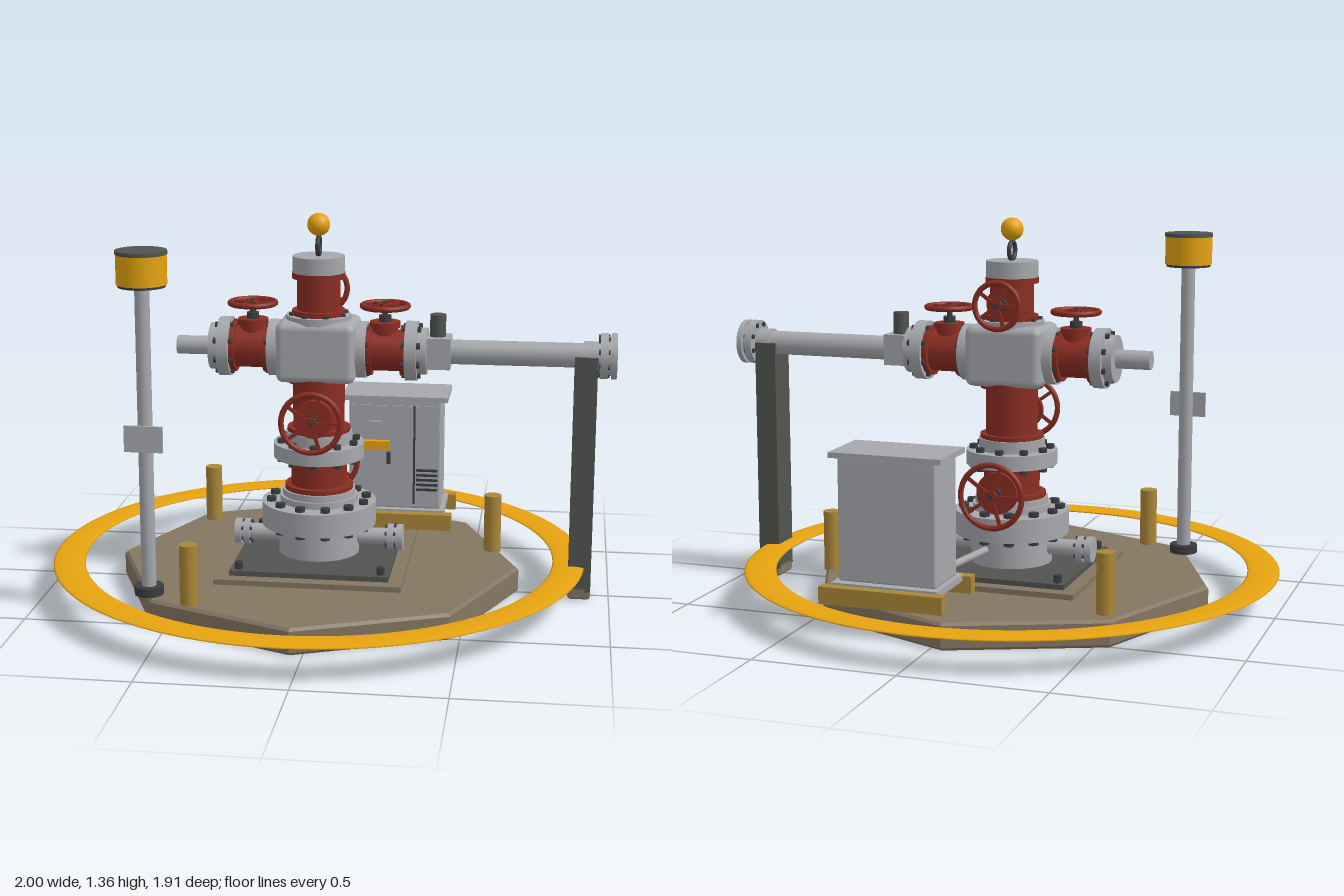
import * as THREE from 'three';
import { RoundedBoxGeometry } from 'three/addons/geometries/RoundedBoxGeometry.js';

const mat = (name, color) => Object.assign(new THREE.MeshStandardMaterial({ color }), { name });

export function createModel() {
  const steel = mat('steel grey', 0xa6a8ac);
  const red = mat('valve red', 0x8a2d22);
  const yellow = mat('bright yellow', 0xe6a310);
  const ochre = mat('ochre', 0xab8738);
  const earth = mat('concrete brown', 0x847662);
  const dark = mat('dark grey', 0x51544f);
  const iron = mat('bolt iron', 0x3a3d40);

  const root = new THREE.Group();
  root.name = 'wellhead';
  const CX = -0.043;

  function add(parent, name, geometry, material, x = 0, y = 0, z = 0) {
    const m = new THREE.Mesh(geometry, material);
    m.name = name;
    m.position.set(x, y, z);
    parent.add(m);
    return m;
  }
  function group(parent, name, x = 0, y = 0, z = 0) {
    const g = new THREE.Group();
    g.name = name;
    g.position.set(x, y, z);
    parent.add(g);
    return g;
  }
  // Upright cylinder between two heights
  const rod = (parent, name, material, r, y0, y1, x = 0, z = 0, sides = 32) =>
    add(parent, name, new THREE.CylinderGeometry(r, r, y1 - y0, sides), material, x, (y0 + y1) / 2, z);
  // Box between two corners
  const box = (parent, name, material, [x0, x1], [y0, y1], [z0, z1]) =>
    add(parent, name, new THREE.BoxGeometry(x1 - x0, y1 - y0, z1 - z0), material,
      (x0 + x1) / 2, (y0 + y1) / 2, (z0 + z1) / 2);
  // Flange disc with a ring of through bolts
  function flange(parent, name, material, r, y0, y1, bolts = 8, over = 0.016) {
    const g = group(parent, name);
    rod(g, 'disc', material, r, y0, y1, 0, 0, 40);
    for (let i = 0; i < bolts; i++) {
      const a = (i + 0.5) * Math.PI * 2 / bolts, c = r * 0.84;
      rod(g, 'bolt', iron, r * 0.075 + 0.003, y0 - over, y1 + over, c * Math.cos(a), c * Math.sin(a), 6);
    }
    return g;
  }
  // Valve: flow along y, bonnet and handwheel towards +z
  function valve(parent, name, y0, y1, r, reach, wheelR, wheelY = (y0 + y1) / 2) {
    const g = group(parent, name);
    rod(g, 'body', red, r, y0, y1);
    for (const [a, b] of [[y0, y0 + 0.02], [y1 - 0.02, y1]]) rod(g, 'bodyRim', red, r * 1.22, a, b);
    const side = group(g, 'bonnetAssembly', 0, wheelY, 0);
    side.rotation.x = Math.PI / 2;
    const top = reach - 0.055;
    rod(side, 'bonnet', red, r * 0.62, 0, top);
    rod(side, 'bonnetCap', red, r * 0.74, top - 0.02, top);
    rod(side, 'packing', iron, 0.022, top, top + 0.022, 0, 0, 16);
    rod(side, 'stem', iron, 0.01, top, reach + 0.015, 0, 0, 12);
    rod(side, 'hub', red, 0.022, reach - 0.009, reach + 0.009, 0, 0, 16);
    const rim = add(side, 'handwheelRim', new THREE.TorusGeometry(wheelR - 0.01, 0.01, 10, 36), red, 0, reach, 0);
    rim.rotation.x = Math.PI / 2;
    for (let i = 0; i < 5; i++) {
      const a = i * Math.PI * 0.4, l = wheelR - 0.01;
      const spoke = add(side, 'spoke', new THREE.BoxGeometry(l, 0.009, 0.012), red,
        Math.cos(a) * l / 2, reach, -Math.sin(a) * l / 2);
      spoke.rotation.y = a;
    }
    return g;
  }

  // Octagonal pad with a small bevel, and the guard ring
  const padProfile = [[0, 0], [0.712, 0], [0.722, 0.01], [0.722, 0.084], [0.712, 0.094], [0, 0.094]];
  const padGeo = new THREE.LatheGeometry(padProfile.map(p => new THREE.Vector2(...p)), 8).toNonIndexed();
  padGeo.computeVertexNormals();
  add(root, 'pad', padGeo, earth, CX);
  const ringGeo = new THREE.TorusGeometry(0.8985, 0.0565, 14, 96).rotateX(Math.PI / 2).scale(1, 0.12, 1);
  add(root, 'guardRing', ringGeo, yellow, CX, 0.118, 0);

  // Stepped base plate with anchor bolts
  box(root, 'groutPlate', earth, [CX - 0.328, CX + 0.328], [0.09, 0.113], [-0.327, 0.327]);
  box(root, 'basePlate', dark, [CX - 0.28, CX + 0.28], [0.113, 0.131], [-0.28, 0.28]);
  for (const sx of [-1, 1]) for (const sz of [-1, 1])
    rod(root, 'anchorBolt', iron, 0.015, 0.13, 0.157, CX + sx * 0.25, sz * 0.25, 6);

  // Main stack
  const stack = group(root, 'stack', CX);
  rod(stack, 'casing', steel, 0.145, 0.13, 0.24, 0, 0, 40);
  flange(stack, 'casingFlange', steel, 0.205, 0.237, 0.322, 12);
  rod(stack, 'tubingHub', steel, 0.14, 0.322, 0.345);
  flange(stack, 'lowerValveFlange', steel, 0.13, 0.345, 0.368, 8, 0.012);
  valve(stack, 'lowerValve', 0.365, 0.49, 0.1, 0.226, 0.122, 0.407).rotation.y = Math.PI;
  flange(stack, 'middleFlange', steel, 0.162, 0.485, 0.538, 10);
  flange(stack, 'middleUpperFlange', steel, 0.118, 0.538, 0.58, 8, 0.012);
  valve(stack, 'middleValve', 0.575, 0.78, 0.092, 0.212, 0.114, 0.654);
  add(stack, 'crossBlock', new RoundedBoxGeometry(0.28, 0.215, 0.235, 2, 0.028), steel, 0, 0.878, 0);
  rod(stack, 'blockCollarBottom', steel, 0.11, 0.76, 0.79);
  flange(stack, 'blockCollarTop', steel, 0.115, 0.975, 1.0, 8, 0.01);
  valve(stack, 'swabValve', 0.998, 1.15, 0.077, 0.166, 0.09, 1.064).rotation.y = Math.PI;
  rod(stack, 'treeCap', steel, 0.092, 1.148, 1.208);
  const eye = add(stack, 'liftingEye', new THREE.TorusGeometry(0.032, 0.008, 10, 28), iron, 0, 1.242, 0);
  eye.rotation.y = Math.PI / 2;
  add(stack, 'topBall', new THREE.SphereGeometry(0.04, 28, 18), yellow, 0, 1.317, 0);

  // Two wing arms: local y runs outwards, local z is up
  for (const s of [-1, 1]) {
    const arm = group(root, s > 0 ? 'leftArm' : 'rightArm', CX, 0.877, 0);
    arm.setRotationFromMatrix(new THREE.Matrix4().makeBasis(
      new THREE.Vector3(0, 0, s), new THREE.Vector3(s, 0, 0), new THREE.Vector3(0, 1, 0)));
    flange(arm, 'innerFlange', steel, 0.1, 0.138, 0.174, 8, 0.01);
    valve(arm, 'wingValve', 0.172, 0.312, 0.073, 0.158, 0.09, 0.235);
    flange(arm, 'outerFlange', steel, 0.105, 0.31, 0.352, 8, 0.012);
    rod(arm, 'outerHub', steel, 0.083, 0.352, 0.385);
    if (s < 0) {
      rod(arm, 'pipeStub', steel, 0.033, 0.385, 0.507);
    } else {
      box(arm, 'chokeBlock', steel, [-0.053, 0.053], [0.385, 0.468], [-0.055, 0.055]);
      rod(arm, 'flowPipe', steel, 0.043, 0.46, 0.99);
      rod(arm, 'pipeClamp', steel, 0.05, 0.93, 0.978);
      flange(arm, 'endFlange', steel, 0.08, 0.985, 1.012, 8, 0.006);
      rod(arm, 'endHub', steel, 0.068, 1.012, 1.026);
      rod(arm, 'endFace', steel, 0.08, 1.024, 1.043);
    }
    // Low side outlet
    const port = group(root, 'sideOutlet', CX, 0.19, 0);
    port.quaternion.copy(arm.quaternion);
    rod(port, 'outletPipe', steel, 0.03, 0.1, 0.26);
    flange(port, 'outletFlange', steel, 0.046, 0.25, 0.272, 6, 0.008);
    rod(port, 'outletCap', steel, 0.046, 0.282, 0.305);
    rod(port, 'outletNeck', steel, 0.036, 0.265, 0.29);
  }
  rod(root, 'chokeActuator', dark, 0.028, 0.92, 1.01, 0.378, 0, 20);

  // Pipe support post
  box(root, 'supportPost', dark, [0.855, 0.935], [0.03, 0.835], [-0.057, 0.057]);
  for (const sz of [-1, 1])
    box(root, 'saddleCheek', dark, [0.855, 0.935], [0.83, 0.88], [sz * 0.051 - 0.006, sz * 0.051 + 0.006]);
  add(root, 'postFoot', new RoundedBoxGeometry(0.08, 0.05, 0.114, 1, 0.01), earth, 0.895, 0.025, 0);

  // Beacon mast
  const mast = group(root, 'beaconMast', -0.571, 0, 0.444);
  rod(mast, 'mastFoot', iron, 0.05, 0.094, 0.125);
  rod(mast, 'mastPole', steel, 0.025, 0.1, 1.17, 0, 0, 24);
  rod(mast, 'lampBase', iron, 0.08, 1.163, 1.174);
  rod(mast, 'lamp', yellow, 0.085, 1.172, 1.272, 0, 0, 40);
  rod(mast, 'lampCap', dark, 0.087, 1.272, 1.285, 0, 0, 40);
  box(mast, 'signPlate', steel, [-0.066, 0.066], [0.605, 0.695], [0.025, 0.037]);

  // Bollards
  for (const [x, z] of [[-0.516, -0.438], [0.575, -0.19], [-0.414, 0.526]])
    rod(root, 'bollard', ochre, 0.031, 0.09, 0.304, x, z, 24);

  // Control cabinet on skids
  const cab = group(root, 'cabinet', 0.19, 0, 0);
  for (const [z0, z1] of [[-0.677, -0.635], [-0.398, -0.355]])
    box(cab, 'skid', ochre, [-0.22, 0.22], [0.105, 0.165], [z0, z1]);
  box(cab, 'deck', steel, [-0.19, 0.19], [0.148, 0.172], [-0.64, -0.39]);
  add(cab, 'housing', new RoundedBoxGeometry(0.35, 0.425, 0.2, 1, 0.008), steel, 0, 0.384, -0.512);
  box(cab, 'roof', steel, [-0.2, 0.2], [0.594, 0.613], [-0.628, -0.396]);
  box(cab, 'door', steel, [-0.165, 0.07], [0.19, 0.575], [-0.414, -0.407]);
  box(cab, 'sidePanel', steel, [0.078, 0.168], [0.19, 0.575], [-0.414, -0.407]);
  box(cab, 'doorSeam', iron, [0.07, 0.078], [0.19, 0.575], [-0.414, -0.41]);
  box(cab, 'warningBar', yellow, [-0.13, -0.02], [0.405, 0.44], [-0.407, -0.385]);
  box(cab, 'gauge', steel, [-0.11, -0.05], [0.47, 0.515], [-0.407, -0.395]);
  box(cab, 'doorHandle', iron, [-0.03, -0.015], [0.35, 0.395], [-0.407, -0.39]);
  for (let i = 0; i < 5; i++) {
    const y = 0.245 + i * 0.019;
    box(cab, 'louvre', iron, [0.083, 0.164], [y, y + 0.009], [-0.407, -0.408 + 0.006]);
  }

  // Conduit from casing to cabinet
  const conduit = new THREE.LineCurve3(new THREE.Vector3(0.005, 0.192, -0.11), new THREE.Vector3(0.055, 0.192, -0.42));
  add(root, 'conduit', new THREE.TubeGeometry(conduit, 1, 0.013, 12), steel);

  return root;
}
